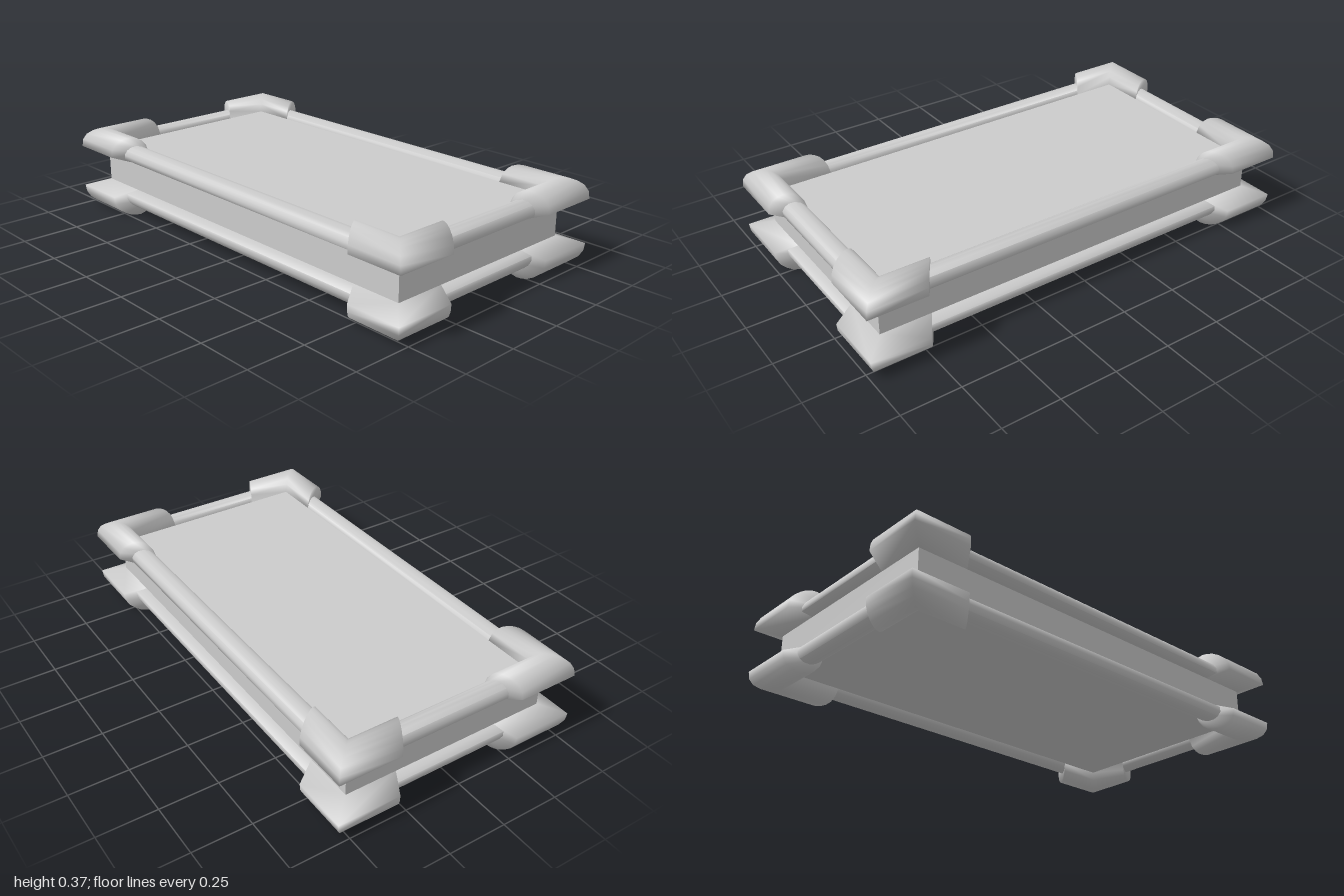
import * as THREE from 'three';
import { toCreasedNormals } from 'three/addons/utils/BufferGeometryUtils.js';

const IX = 0.86, IZ = 0.41, MID = 0.1825; // panel half sizes, half height

// Closed cross-sections: [distance outward from the panel edge, height]
const railProfile = [[0, 0.295], [0.01, 0.311], [0.025, 0.322], [0.045, 0.326], [0.065, 0.32],
  [0.08, 0.307], [0.09, 0.287], [0.09, 0.265], [0.05, 0.245], [0, 0.245]];
const cornerProfile = [[0, 0.295], [0.01, 0.329], [0.025, 0.351], [0.042, 0.362], [0.06, 0.365],
  [0.08, 0.363], [0.1, 0.354], [0.122, 0.336], [0.135, 0.31], [0.139, 0.277], [0.05, 0.245], [0, 0.245]];

// Skin a row of cross-sections; mirrored halves get their winding flipped
function skin(sections, closed, flip, crease) {
  const pos = [];
  const tri = (a, b, c) => pos.push(...a, ...(flip ? c : b), ...(flip ? b : c));
  const n = sections[0].length, count = sections.length;
  for (let s = 0; s < (closed ? count : count - 1); s++) {
    const A = sections[s], B = sections[(s + 1) % count];
    for (let i = 0; i < n; i++) {
      const j = (i + 1) % n;
      tri(A[i], B[j], B[i]);
      tri(A[i], A[j], B[j]);
    }
  }
  if (!closed) {
    const A = sections[0], B = sections[count - 1];
    for (let i = 1; i < n - 1; i++) {
      tri(A[0], A[i + 1], A[i]);
      tri(B[0], B[i], B[i + 1]);
    }
  }
  const geo = new THREE.BufferGeometry();
  geo.setAttribute('position', new THREE.Float32BufferAttribute(pos, 3));
  return toCreasedNormals(geo, crease);
}

export function createModel() {
  const group = new THREE.Group();
  const material = new THREE.MeshStandardMaterial({ color: 0xcccccc });
  const add = (name, geo, y = 0) => {
    const mesh = new THREE.Mesh(geo, material);
    mesh.name = name;
    mesh.position.y = y;
    group.add(mesh);
  };

  // Slab faces, sunk a little below the rails, and the waist between the two frames
  add('panel', new THREE.BoxGeometry(IX * 2, 0.225, IZ * 2), MID);
  add('waist', new THREE.BoxGeometry(1.825, 0.126, 0.92), MID);

  for (const sy of [1, -1]) {
    const level = sy > 0 ? 'upper' : 'lower';
    const height = y => MID + sy * (y - MID);

    // Mitred rail running all the way round
    const ring = [[-1, 1], [1, 1], [1, -1], [-1, -1]].map(([sx, sz]) =>
      railProfile.map(([d, y]) => [sx * (IX + d), height(y), sz * (IZ + d)]));
    add(level + 'Rail', skin(ring, true, sy < 0, 1.2));

    // Thicker corner guards with slanted ends, smooth all over
    for (const sx of [1, -1]) for (const sz of [1, -1]) {
      const stations = [
        d => [0.66 + 0.65 * d, IZ + d],
        d => [IX + d, IZ + d],
        d => [IX + d, 0.21 + 0.5 * d],
      ];
      const sections = stations.map(f => cornerProfile.map(([d, y]) => {
        const [x, z] = f(d);
        return [sx * x, height(y), sz * z];
      }));
      const name = level + (sz > 0 ? 'Front' : 'Back') + (sx > 0 ? 'Left' : 'Right') + 'Corner';
      add(name, skin(sections, false, sx * sy * sz < 0, Math.PI));
    }
  }
  return group;
}
